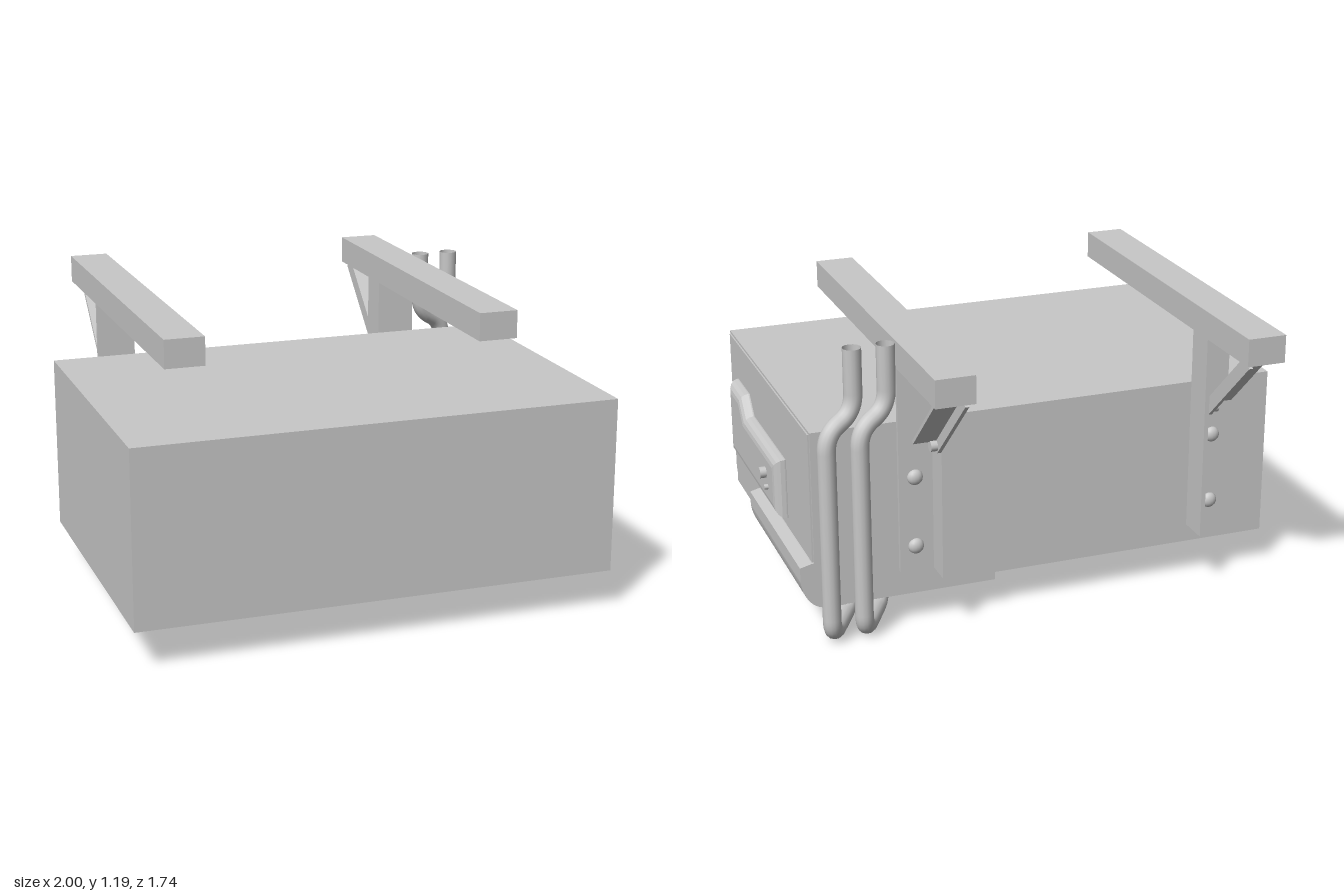
import * as THREE from 'three';

const paint = new THREE.MeshStandardMaterial({ color: 0xc8c8c8, side: THREE.DoubleSide });
paint.name = 'light grey';

function add(parent, name, geometry, x = 0, y = 0, z = 0) {
  const mesh = new THREE.Mesh(geometry, paint);
  mesh.name = name;
  mesh.position.set(x, y, z);
  parent.add(mesh);
  return mesh;
}

// Box given by its minimum and maximum corners
function block(parent, name, a, b) {
  const size = a.map((v, i) => b[i] - v);
  const mid = a.map((v, i) => (v + b[i]) / 2);
  return add(parent, name, new THREE.BoxGeometry(...size), ...mid);
}

// Pipe along straight runs with rounded corners
function pipe(parent, name, points, radius, bend) {
  const p = points.map(v => new THREE.Vector3(...v));
  const path = new THREE.CurvePath();
  let from = p[0];
  for (let i = 1; i < p.length - 1; i++) {
    const toward = (q) => {
      const d = q.clone().sub(p[i]);
      return p[i].clone().addScaledVector(d.clone().normalize(), Math.min(bend, d.length() * 0.45));
    };
    const start = toward(p[i - 1]), end = toward(p[i + 1]);
    path.add(new THREE.LineCurve3(from, start));
    path.add(new THREE.QuadraticBezierCurve3(start, p[i], end));
    from = end;
  }
  path.add(new THREE.LineCurve3(from, p[p.length - 1]));
  add(parent, name, new THREE.TubeGeometry(path, 110, radius, 14, false));
}

function shapeOf(points) {
  return new THREE.Shape(points.map(q => new THREE.Vector2(...q)));
}

function hexBolt(parent, x, y, z) {
  add(parent, 'beamBolt', new THREE.CylinderGeometry(0.031, 0.024, 0.022, 6), x, y, z);
}

// Hanging bracket; inner is the x of the flange side, s points to the outer side
function bracket(parent, name, inner, s) {
  const g = new THREE.Group();
  g.name = name;
  const span = (a, b) => [inner + s * a, inner + s * b].sort((m, n) => m - n);
  const [x0, x1] = span(0, 0.155);
  block(g, 'beam', [x0, 1.08, -0.87], [x1, 1.19, 0.67]);
  block(g, 'wallPlate', [x0, 0.235, -0.42], [x1, 1.08, -0.402]);
  const [f0, f1] = span(0, 0.018);
  block(g, 'legFlange', [f0, 0.235, -0.53], [f1, 1.08, -0.402]);
  const brace = new THREE.Group();
  brace.name = 'brace';
  brace.position.set(0, 0.939, -0.674);
  brace.rotation.x = 0.753;
  const [w0, w1] = span(0.018, 0.034), [b0, b1] = span(0.018, 0.125);
  block(brace, 'braceWeb', [w0, -0.028, -0.21], [w1, 0.028, 0.23]);
  block(brace, 'bracePlate', [b0, 0.014, -0.21], [b1, 0.028, 0.21]);
  g.add(brace);
  const pin = add(g, 'braceBolt', new THREE.CylinderGeometry(0.022, 0.022, 0.03, 12), inner + s * 0.045, 0.79, -0.515);
  pin.rotation.z = Math.PI / 2;
  for (const y of [0.34, 0.63]) {
    const bolt = add(g, 'legBolt', new THREE.SphereGeometry(0.032, 14, 10), inner + s * 0.09, y, -0.42);
    bolt.scale.z = 0.7;
  }
  for (const z of [0.43, 0.14, -0.15]) hexBolt(g, inner + s * 0.0775, 1.07, z);
  parent.add(g);
}

export function createModel() {
  const model = new THREE.Group();
  model.name = 'ceilingUnit';

  // Main housing and thin side panel
  block(model, 'housing', [-1, 0.16, -0.4], [0.92, 0.86, 0.87]);
  block(model, 'sidePanel', [0.919, 0.225, -0.39], [0.926, 0.85, 0.855]);
  for (const [z, y0, y1] of [[0.84, 0.32, 0.46], [0.815, 0.34, 0.46]]) {
    block(model, 'sideSlot', [0.92, y0, z - 0.004], [0.929, y1, z + 0.004]);
  }

  // Raised stepped cover on the side (shape drawn in -z, y)
  const cover = shapeOf([[-0.68, 0.41], [0, 0.41], [0, 0.57], [-0.48, 0.57], [-0.55, 0.645], [-0.68, 0.645]]);
  const coverGeo = new THREE.ExtrudeGeometry(cover, {
    depth: 0.004, bevelThickness: 0.042, bevelSize: 0.045, bevelSegments: 4,
  });
  coverGeo.rotateY(Math.PI / 2);
  add(model, 'terminalCover', coverGeo, 0.882 + 0.046, 0, 0);
  for (const [z, y, r, end] of [[0.11, 0.51, 0.023, 1], [0.08, 0.458, 0.011, 0.99]]) {
    const knob = add(model, 'coverKnob', new THREE.CylinderGeometry(r, r, 0.05, 16), end - 0.025, y, z);
    knob.rotation.z = Math.PI / 2;
  }

  // Curved hood along the lower side edge
  const hood = new THREE.Shape();
  hood.moveTo(0.9, 0.325);
  hood.lineTo(0.93, 0.322);
  hood.lineTo(0.977, 0.31);
  hood.lineTo(0.977, 0.25);
  hood.bezierCurveTo(0.97, 0.2, 0.945, 0.13, 0.87, 0.126);
  hood.lineTo(0.8, 0.126);
  hood.lineTo(0.8, 0.18);
  hood.lineTo(0.9, 0.18);
  add(model, 'hood', new THREE.ExtrudeGeometry(hood, { depth: 0.79, bevelEnabled: false, curveSegments: 12 }), 0, 0, -0.4);

  // Shallow tray under the housing (plan drawn in x, z)
  const tray = new THREE.Shape();
  tray.moveTo(0.86, -0.4);
  tray.lineTo(0.86, 0.39);
  tray.lineTo(0.36, 0.39);
  tray.lineTo(0.36, 0.17);
  tray.bezierCurveTo(0.35, 0.0, 0.22, -0.08, 0.18, -0.28);
  tray.lineTo(0.18, -0.4);
  const trayGeo = new THREE.ExtrudeGeometry(tray, { depth: 0.034, bevelEnabled: false });
  trayGeo.rotateX(Math.PI / 2);
  add(model, 'bottomTray', trayGeo, 0, 0.162, 0);
  add(model, 'drain', new THREE.CylinderGeometry(0.036, 0.032, 0.035, 16), 0.52, 0.112, 0.22);

  // Fan disc, hub and rail on the underside
  add(model, 'fanDisc', new THREE.CylinderGeometry(0.42, 0.42, 0.01, 48), -0.37, 0.156, 0.24);
  add(model, 'fanHub', new THREE.CylinderGeometry(0.05, 0.04, 0.014, 20), -0.37, 0.15, 0.24);
  const rail = add(model, 'bottomRail', new THREE.CapsuleGeometry(0.028, 0.94, 6, 12), -0.91, 0.147, 0.21);
  rail.rotation.x = Math.PI / 2;

  // Two pipes running down the back and into the underside
  for (const x of [0.625, 0.755]) {
    pipe(model, 'pipe', [
      [x, 1.19, -0.43], [x, 0.94, -0.43], [x + 0.12, 0.87, -0.467],
      [x + 0.12, 0.037, -0.467], [x - 0.01, 0.037, -0.245], [x - 0.01, 0.14, -0.245],
    ], 0.036, 0.07);
  }

  // Mirrored hanging brackets, flanges facing each other
  bracket(model, 'leftBracket', 0.425, 1);
  bracket(model, 'rightBracket', -0.658, -1);
  return model;
}
